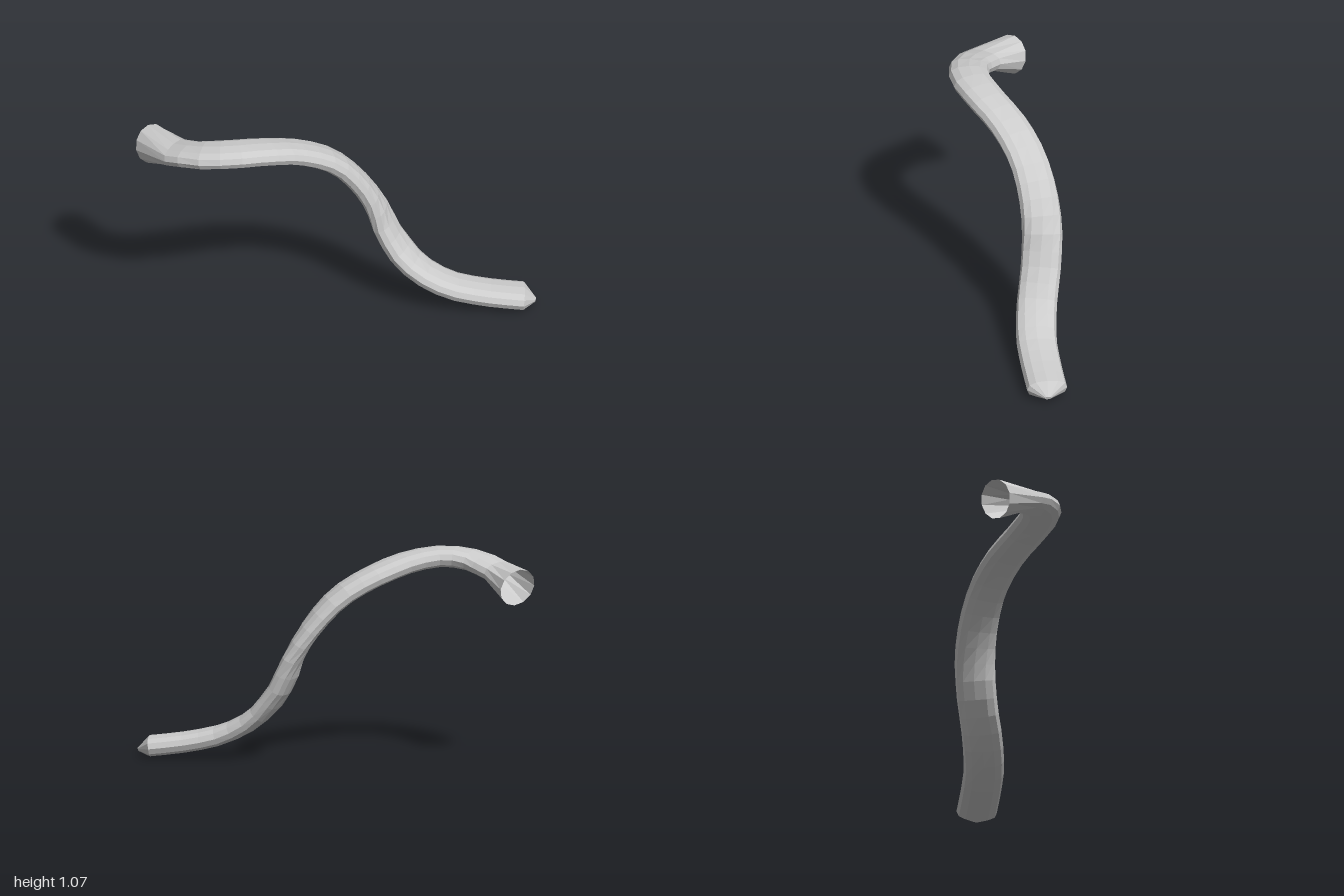
import * as THREE from 'three';

const SIDES = 12;
const material = new THREE.MeshStandardMaterial({ color: 0xcccccc, flatShading: true, side: THREE.DoubleSide });
const v = (x, y, z) => new THREE.Vector3(x, y, z);

// Ring of points across direction t: half width w (level) and half height h.
// A power below 1 squares the oval off slightly.
function ring(centre, t, w, h, power = 0.85) {
  const across = v(0, 1, 0).cross(t).normalize();
  const up = t.clone().cross(across).normalize();
  const bulge = (n) => Math.sign(n) * Math.abs(n) ** power;
  return Array.from({ length: SIDES }, (_, j) => {
    const a = (j / SIDES) * Math.PI * 2;
    return centre.clone()
      .addScaledVector(across, w * bulge(Math.cos(a)))
      .addScaledVector(up, h * bulge(Math.sin(a)));
  });
}

// Skin between successive rings
function loft(name, rings) {
  const positions = rings.flat().flatMap((p) => p.toArray());
  const index = [];
  for (let i = 0; i < rings.length - 1; i++) {
    for (let j = 0; j < SIDES; j++) {
      const k = (j + 1) % SIDES;
      const a = i * SIDES + j, b = i * SIDES + k;
      index.push(a, b, b + SIDES, a, b + SIDES, a + SIDES);
    }
  }
  const geometry = new THREE.BufferGeometry();
  geometry.setAttribute('position', new THREE.Float32BufferAttribute(positions, 3));
  geometry.setIndex(index);
  geometry.computeVertexNormals();
  const mesh = new THREE.Mesh(geometry, material);
  mesh.name = name;
  return mesh;
}

export function createModel() {
  const group = new THREE.Group();
  group.name = 'bentPipe';

  // Centre line from the closed tip up to the flared mouth
  const path = new THREE.CatmullRomCurve3([
    v(0.938, 0.058, 0.08), v(0.75, 0.083, 0.065), v(0.56, 0.13, 0.045),
    v(0.4, 0.225, 0.005), v(0.28, 0.38, -0.045), v(0.2, 0.57, -0.07),
    v(0.1, 0.725, -0.068), v(-0.02, 0.85, -0.045), v(-0.19, 0.945, 0.008),
    v(-0.38, 1.008, 0.085), v(-0.55, 1.027, 0.12), v(-0.7, 1.01, 0.085),
    v(-0.81, 0.975, -0.005),
  ]);

  // Flattened tube
  const STEPS = 26;
  const tube = [];
  for (let i = 0; i <= STEPS; i++) {
    tube.push(ring(path.getPointAt(i / STEPS), path.getTangentAt(i / STEPS), 0.102, 0.05));
  }
  group.add(loft('tube', tube));

  // Blunt tip closing the low end
  const tipDir = v(-0.94, 0.28, -0.1).normalize();
  const tipEnd = v(0.997, 0.038, 0.09);
  group.add(loft('tip', [
    ring(tipEnd, tipDir, 0, 0),
    ring(tipEnd, tipDir, 0.016, 0.009),
    tube[0],
  ]));

  // Mouth opening out from the flat tube to a round, open end
  const mouthDir = v(-0.53, -0.28, -0.8).normalize();
  group.add(loft('mouth', [
    tube[STEPS],
    ring(v(-0.915, 0.925, -0.178), mouthDir, 0.1, 0.1, 1),
  ]));

  return group;
}
